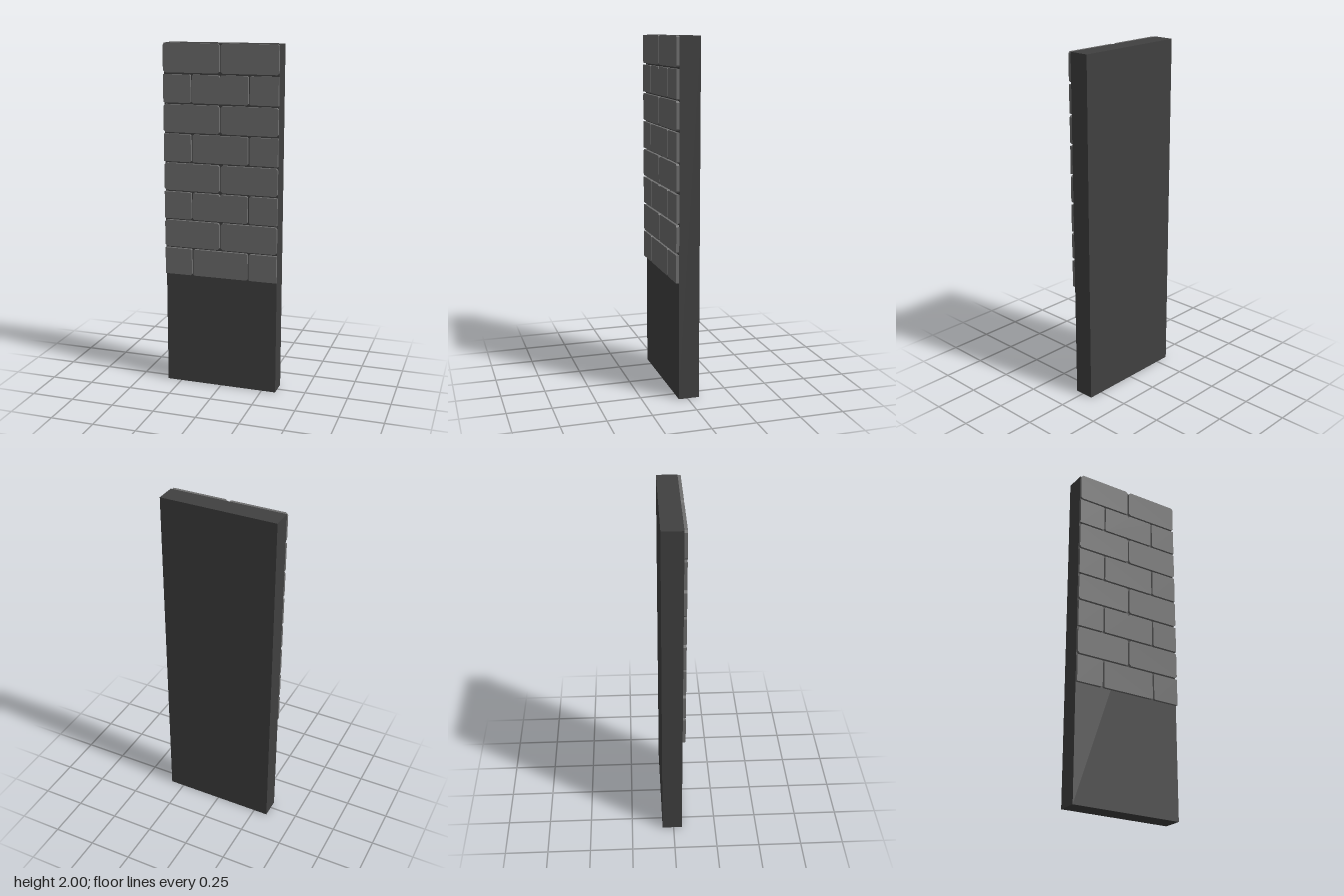
import * as THREE from 'three';

const HALF = 1 / 3, ROW = 1 / 6, GAP = 0.005, BASE = 2 / 3;
const BACK = -0.067, FACE = 0.05, BRICK_DEPTH = 0.017;

// Brick outline; cl / cr are the corner cuts on the left and right, notch chips the top middle
function brickGeometry(x0, x1, y0, y1, cl, cr, notch) {
  const s = new THREE.Shape();
  s.moveTo(x0 + cl, y0);
  s.lineTo(x1 - cr, y0);
  if (cr) s.lineTo(x1, y0 + cr);
  s.lineTo(x1, y1 - cr);
  if (cr) s.lineTo(x1 - cr, y1);
  if (notch) {
    const m = (x0 + x1) / 2;
    s.lineTo(m + 0.008, y1);
    s.lineTo(m, y1 - 0.013);
    s.lineTo(m - 0.008, y1);
  }
  s.lineTo(x0 + cl, y1);
  if (cl) s.lineTo(x0, y1 - cl);
  s.lineTo(x0, y0 + cl);
  s.closePath();
  return new THREE.ExtrudeGeometry(s, { depth: BRICK_DEPTH, bevelEnabled: false });
}

export function createModel() {
  const group = new THREE.Group();
  const slabMat = new THREE.MeshStandardMaterial({ color: 0x404040 });
  slabMat.name = 'dark grey';
  const brickMat = new THREE.MeshStandardMaterial({ color: 0x6e6e6e });
  brickMat.name = 'brick grey';

  // Backing slab
  const slab = new THREE.Mesh(new THREE.BoxGeometry(2 * HALF, 2, FACE - BACK), slabMat);
  slab.name = 'slab';
  slab.position.set(0, 1, (FACE + BACK) / 2);
  group.add(slab);

  // Eight courses of bricks in running bond
  const bricks = new THREE.Group();
  bricks.name = 'bricks';
  group.add(bricks);
  for (let r = 0; r < 8; r++) {
    const y0 = BASE + r * ROW + GAP;
    const y1 = r === 7 ? 2 : BASE + (r + 1) * ROW - GAP;
    const full = r % 2 === 1;
    const cuts = full ? [-HALF, 0, HALF] : [-HALF, -HALF / 2, HALF / 2, HALF];
    for (let i = 0; i < cuts.length - 1; i++) {
      const first = i === 0, last = i === cuts.length - 2;
      const x0 = cuts[i] + (first ? 0 : GAP);
      const x1 = cuts[i + 1] - (last ? 0 : GAP);
      const cl = first && !full ? 0 : full ? 0.011 : 0.006;
      const cr = last && !full ? 0 : full ? 0.009 : 0.006;
      const notch = !full && i === 1 && r % 4 === 2;
      const brick = new THREE.Mesh(brickGeometry(x0, x1, y0, y1, cl, cr, notch), brickMat);
      brick.name = 'brick';
      brick.position.z = FACE;
      bricks.add(brick);
    }
  }
  return group;
}
